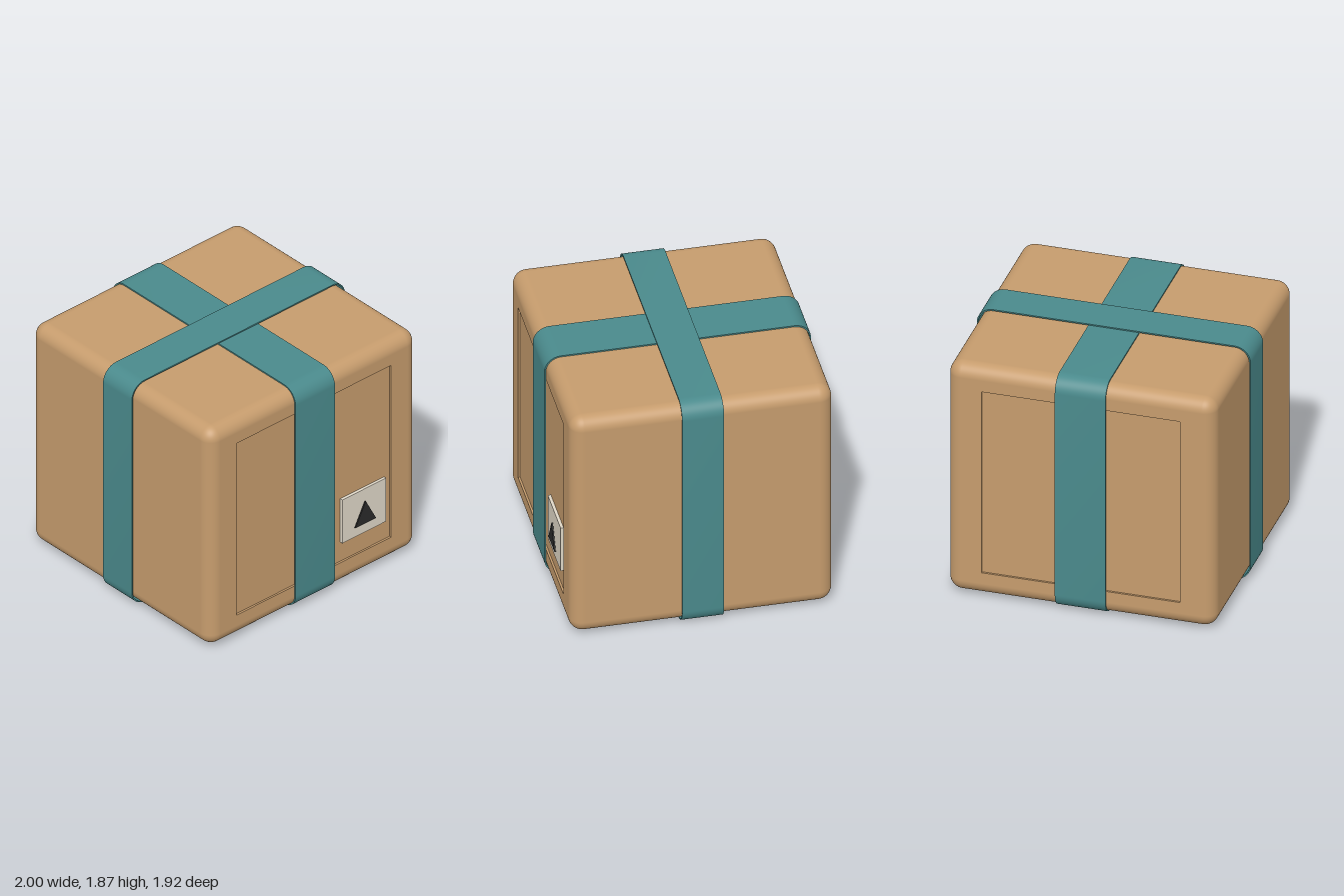
import * as THREE from 'three';
import { RoundedBoxGeometry } from 'three/addons/geometries/RoundedBoxGeometry.js';
import { toCreasedNormals } from 'three/addons/utils/BufferGeometryUtils.js';

const CENTRE = new THREE.Vector3(0, 0.933, -0.006);
const HALF = { x: 0.978, y: 0.912, z: 0.939 }; // half sizes of the carton
const RADIUS = 0.1;
const PANEL = 0.725; // half size of the sunken panels
const RECESS = 0.015;

const cardboard = new THREE.MeshStandardMaterial({ color: 0xc69c6d });
const tape = new THREE.MeshStandardMaterial({ color: 0x4a8a8c });
const paper = new THREE.MeshStandardMaterial({ color: 0xe0d8c8 });
const ink = new THREE.MeshStandardMaterial({ color: 0x2a2a2a });

function add(parent, name, geometry, material, x = 0, y = 0, z = 0) {
  const mesh = new THREE.Mesh(geometry, material);
  mesh.name = name;
  mesh.position.set(x, y, z);
  parent.add(mesh);
  return mesh;
}

// Rounded box without its flat front and back, which the sunken faces fill
function shellGeometry() {
  const box = new RoundedBoxGeometry(HALF.x * 2, HALF.y * 2, HALF.z * 2, 6, RADIUS);
  const p = box.attributes.position, n = box.attributes.normal;
  const positions = [], normals = [];
  for (let i = 0; i < p.count; i += 3) {
    const corners = [i, i + 1, i + 2];
    if (corners.every((k) => Math.abs(p.getZ(k)) > HALF.z - 1e-5)) continue;
    for (const k of corners) {
      positions.push(p.getX(k), p.getY(k), p.getZ(k));
      normals.push(n.getX(k), n.getY(k), n.getZ(k));
    }
  }
  const shell = new THREE.BufferGeometry();
  shell.setAttribute('position', new THREE.Float32BufferAttribute(positions, 3));
  shell.setAttribute('normal', new THREE.Float32BufferAttribute(normals, 3));
  return shell;
}

// Rounded rectangle outline from half sizes; radius 0 gives sharp corners
function outline(path, w, h, r) {
  path.moveTo(w, -h + r);
  [[1, 1], [-1, 1], [-1, -1], [1, -1]].forEach(([sx, sy], i) => {
    if (r) path.absarc(sx * (w - r), sy * (h - r), r, i * Math.PI / 2, (i + 1) * Math.PI / 2, false);
    else path.lineTo(sx * w, sy * h);
  });
  return path;
}

function frameGeometry(w, h, r, holeW, holeH, holeR, depth) {
  const shape = outline(new THREE.Shape(), w, h, r);
  shape.holes.push(outline(new THREE.Path(), holeW, holeH, holeR));
  return new THREE.ExtrudeGeometry(shape, { depth, bevelEnabled: false, curveSegments: 8 });
}

// Closed strap loop in the XY plane, centred along its width
function strapGeometry(w, h, width) {
  const t = 0.01, r = 0.12;
  const geometry = frameGeometry(w, h, r, w - t, h - t, r - t, width);
  geometry.translate(0, 0, -width / 2);
  return toCreasedNormals(geometry, 0.6);
}

export function createModel() {
  const model = new THREE.Group();
  model.name = 'strappedCarton';

  // Carton with a sunken panel on the front and the back
  const carton = new THREE.Group();
  carton.name = 'carton';
  carton.position.copy(CENTRE);
  model.add(carton);
  add(carton, 'cartonShell', shellGeometry(), cardboard);
  for (const [name, turn] of [['front', 0], ['back', Math.PI]]) {
    const face = new THREE.Group();
    face.name = name + 'Face';
    face.rotation.y = turn;
    carton.add(face);
    add(face, name + 'Frame',
      frameGeometry(HALF.x - RADIUS, HALF.y - RADIUS, 0, PANEL, PANEL, 0, RECESS),
      cardboard, 0, 0, HALF.z - RECESS);
    add(face, name + 'Panel', new THREE.PlaneGeometry(PANEL * 2, PANEL * 2),
      cardboard, 0, 0, HALF.z - RECESS);
  }

  // Two crossing straps; the side-to-side one lies over the other
  const { x, y, z } = CENTRE;
  add(model, 'frontToBackStrap', strapGeometry(0.954, 0.924, 0.37), tape, x, y, z).rotation.y = Math.PI / 2;
  add(model, 'sideToSideStrap', strapGeometry(1, 0.933, 0.3), tape, x, y, z);

  // Label with an upward triangle
  add(model, 'label', new THREE.BoxGeometry(0.41, 0.366, 0.022), paper, 0.465, 0.553, 0.93);
  const triangle = new THREE.Shape([
    new THREE.Vector2(-0.097, 0), new THREE.Vector2(0.097, 0), new THREE.Vector2(0, 0.185)]);
  add(model, 'labelTriangle',
    new THREE.ExtrudeGeometry(triangle, { depth: 0.01, bevelEnabled: false }), ink, 0.463, 0.459, 0.95);

  return model;
}
